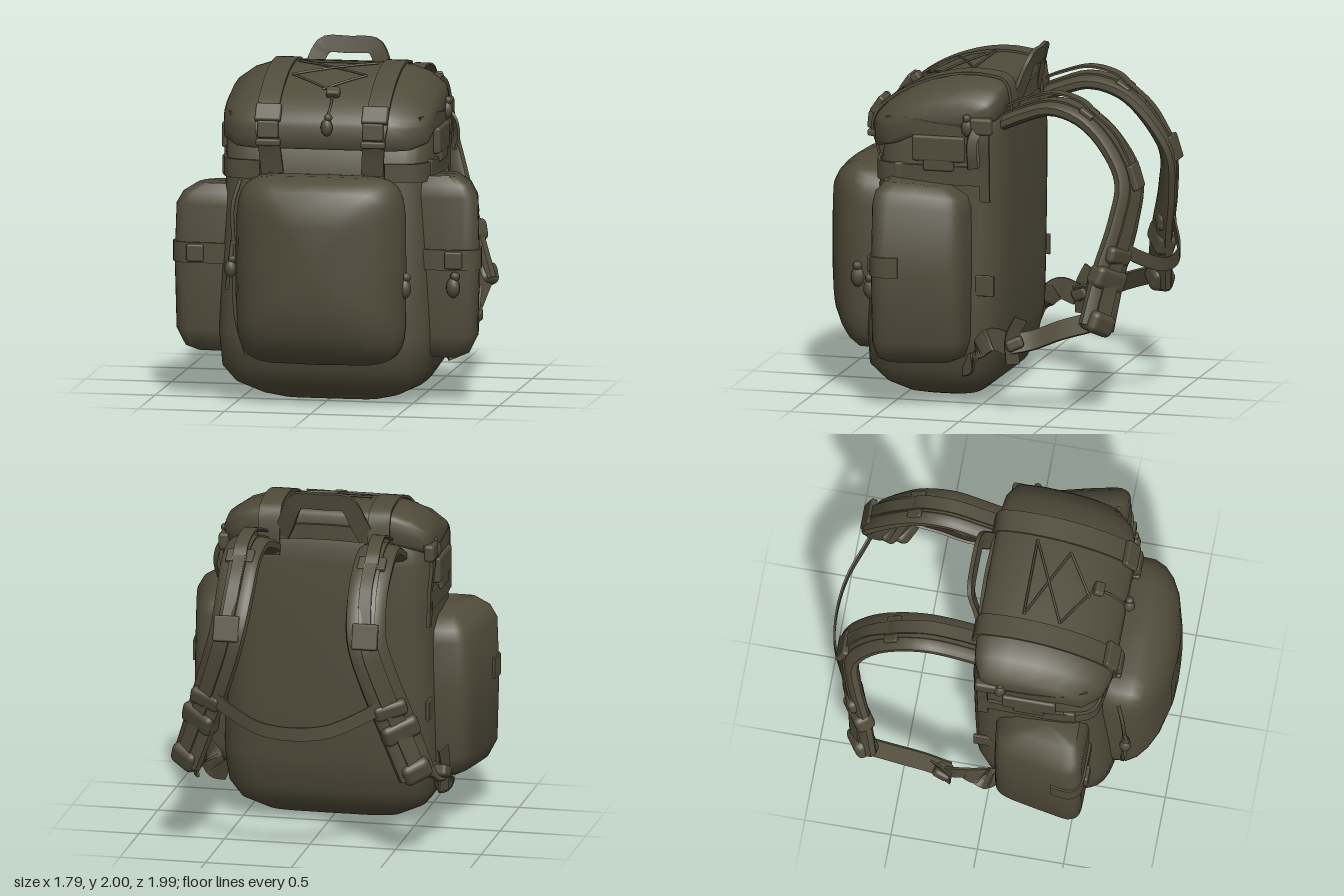
import * as THREE from 'three';
import { toCreasedNormals } from 'three/addons/utils/BufferGeometryUtils.js';
import { RoundedBoxGeometry } from 'three/addons/geometries/RoundedBoxGeometry.js';

const V = (x, y, z) => new THREE.Vector3(x, y, z);

// point of a superellipse; higher n is squarer
function squircle(angle, n) {
  const c = Math.cos(angle), s = Math.sin(angle);
  return [Math.sign(c) * Math.abs(c) ** (2 / n), Math.sign(s) * Math.abs(s) ** (2 / n)];
}

// closed skin over rings of points, with capped ends
function skin(rings, crease) {
  const k = rings[0].length, m = rings.length, index = [];
  const pts = rings.flat();
  for (let i = 0; i < m - 1; i++) for (let j = 0; j < k; j++) {
    const a = i * k + j, b = i * k + (j + 1) % k;
    index.push(a, b, b + k, a, b + k, a + k);
  }
  for (const r of [rings[0], rings[m - 1]]) {
    pts.push(r.reduce((sum, p) => sum.add(p), V(0, 0, 0)).divideScalar(k));
  }
  const end = (m - 1) * k;
  for (let j = 0; j < k; j++) {
    const n = (j + 1) % k;
    index.push(m * k, n, j, m * k + 1, end + j, end + n);
  }
  const g = new THREE.BufferGeometry().setFromPoints(pts);
  g.setIndex(index);
  return toCreasedNormals(g, crease);
}

// sections [t, centreA, centreB, halfA, halfB] along an axis; A, B follow it cyclically
function loft(axis, sections, n, warp = p => p) {
  const rings = sections.map(([t, ca, cb, ha, hb]) => Array.from({ length: 32 }, (_, j) => {
    const [u, v] = squircle(j / 32 * Math.PI * 2, n);
    const a = ca + u * ha, b = cb + v * hb;
    return warp({ x: V(t, a, b), y: V(b, t, a), z: V(a, b, t) }[axis]);
  }));
  return skin(rings, 0.9);
}

// strap swept along a smooth path; its width direction turns from side0 to side1
function sweep(points, width, thick, side0, { side1 = side0, soft = false, lift = 0, steps = 28 } = {}) {
  const curve = new THREE.CatmullRomCurve3(points, false, 'centripetal');
  const k = soft ? 12 : 4, rings = [];
  for (let i = 0; i <= steps; i++) {
    const t = i / steps, T = curve.getTangentAt(t);
    const S = side0.clone().lerp(side1, t);
    S.addScaledVector(T, -S.dot(T)).normalize();
    const N = T.clone().cross(S), c = curve.getPointAt(t).addScaledVector(N, lift);
    rings.push(Array.from({ length: k }, (_, j) => {
      const [u, v] = squircle((j + 0.5) / k * Math.PI * 2, soft ? 3 : 40);
      return c.clone().addScaledVector(S, u * width / 2).addScaledVector(N, v * thick / 2);
    }));
  }
  return skin(rings, 0.8);
}

// lid surface height
const lidDrop = z => { const d = Math.max(0, z - 0.1); return 0.6 * d * d + 0.05 * d; };
const lidTop = z => 1.775 + 0.12 * (1 - Math.min(1, Math.abs((z - 0.28) / 0.4)) ** 4.5) ** (1 / 4.5) - lidDrop(z);

export function createModel() {
  const model = new THREE.Group();
  const canvas = new THREE.MeshStandardMaterial({ color: 0x504b3a });
  canvas.name = 'olive canvas';
  const add = (name, geometry) => {
    const mesh = new THREE.Mesh(geometry, canvas);
    mesh.name = name;
    model.add(mesh);
    return mesh;
  };
  const box = (name, w, h, d, x, y, z, rx = 0, ry = 0, rz = 0) => {
    const r = Math.min(w, h, d) * 0.3;
    const b = add(name, new RoundedBoxGeometry(w, h, d, 2, r));
    b.position.set(x, y, z);
    b.rotation.set(rx, ry, rz);
  };
  const cord = (name, pts, r = 0.007) =>
    add(name, new THREE.TubeGeometry(new THREE.CatmullRomCurve3(pts), 16, r, 6));
  const X = V(1, 0, 0), Y = V(0, 1, 0);

  // main sack
  add('mainBody', loft('y', [
    [0, 0.3, 0, 0.12, 0.28], [0.03, 0.28, 0, 0.22, 0.4], [0.1, 0.29, 0, 0.32, 0.54],
    [0.2, 0.31, 0, 0.39, 0.61], [0.4, 0.295, 0, 0.415, 0.63], [0.75, 0.28, 0, 0.41, 0.62],
    [1.3, 0.25, 0, 0.39, 0.6], [1.56, 0.235, 0, 0.37, 0.6], [1.66, 0.17, 0, 0.3, 0.57], [1.74, 0.12, 0, 0.22, 0.5],
  ], 5));

  // lid, curving down to the front and narrowing at the ends
  const half = [[0.61, 1.69, 0.22, 0.05, 0.22], [0.59, 1.7, 0.24, 0.085, 0.3], [0.5, 1.74, 0.265, 0.11, 0.37],
    [0.4, 1.765, 0.277, 0.118, 0.393], [0.28, 1.775, 0.28, 0.12, 0.4]];
  add('lid', loft('x', [...half.map(([x, ...r]) => [-x, ...r]), ...half.slice().reverse()], 4.5,
    p => { p.y -= lidDrop(p.z); return p; }));

  // front pocket, bulging at the middle and drawn in below
  add('frontPocket', loft('z', [
    [0.6, 0.01, 0.795, 0.47, 0.53], [0.7, 0.01, 0.795, 0.49, 0.545], [0.8, 0.01, 0.795, 0.485, 0.545],
    [0.88, 0.01, 0.8, 0.46, 0.51], [0.935, 0.01, 0.81, 0.41, 0.455], [0.97, 0.01, 0.82, 0.33, 0.38], [0.99, 0, 0.83, 0.18, 0.24],
  ], 6, p => {
    const low = Math.max(0, 0.7 - p.y) / 0.45;
    p.z -= Math.max(0, p.z - 0.7) * (0.3 * (p.x / 0.49) ** 2 + 0.2 * low * low);
    return p;
  }));
  cord('pocketZip', [V(-0.46, 1.3, 0.72), V(-0.5, 1.15, 0.75), V(-0.49, 0.9, 0.76), V(-0.48, 0.5, 0.75), V(-0.42, 0.29, 0.74)], 0.012);

  for (const s of [1, -1]) {
    const P = (x, y, z) => V(x * s, y, z);

    // side pocket, the left one a little taller, slanting in towards the back
    const top = s > 0 ? 1.32 : 1.24;
    add('sidePocket', loft('y', [
      [0.27, 0.32, 0.64 * s, 0.18, 0.13], [0.3, 0.31, 0.66 * s, 0.24, 0.17], [0.4, 0.305, 0.68 * s, 0.265, 0.2],
      [0.8, 0.305, 0.68 * s, 0.27, 0.21], [top - 0.12, 0.305, 0.675 * s, 0.265, 0.205],
      [top - 0.05, 0.31, 0.66 * s, 0.25, 0.18], [top, 0.34, 0.64 * s, 0.18, 0.12],
    ], 6, p => {
      const back = Math.max(0, 0.5 - p.z) / 0.46;
      p.z += 0.1 * Math.max(0, Math.abs(p.x) - 0.68) * back;
      p.x *= 1 - 0.1 * back;
      if (p.y > 1.1) p.y -= 0.12 * Math.max(0, 0.4 - p.z);
      return p;
    }));
    add('pocketStrap', sweep([P(0.52, 0.845, 0.577), P(0.7, 0.845, 0.577), P(0.83, 0.845, 0.568), P(0.88, 0.845, 0.52), P(0.873, 0.845, 0.4)], 0.12, 0.018, Y));
    box('pocketBuckle', 0.1, 0.1, 0.04, 0.75 * s, 0.845, 0.585);

    // lid strap, buckle and lower webbing
    add('lidStrap', sweep([P(0.32, 1.6, -0.14), P(0.32, 1.75, -0.135),
      ...[-0.1, 0, 0.15, 0.3, 0.45, 0.58, 0.65, 0.675].map(z => P(0.32, lidTop(z) + 0.004, z)),
      P(0.31, 1.55, 0.69), P(0.3, 1.46, 0.665), P(0.29, 1.33, 0.64)], 0.13, 0.016, X, { steps: 44 }));
    box('lidBuckle', 0.15, 0.11, 0.04, 0.31 * s, 1.68, 0.66, -0.6);
    box('lidBuckle', 0.12, 0.1, 0.04, 0.305 * s, 1.59, 0.7, -0.1);
    box('lidBuckle', 0.14, 0.04, 0.05, 0.305 * s, 1.515, 0.695);

    // side compression straps and padded flap
    add('compressionStrap', sweep([P(0.6, 1.345, -0.02), P(0.605, 1.345, 0.2), P(0.6, 1.345, 0.45), P(0.55, 1.345, 0.59), P(0.36, 1.345, 0.64)], 0.11, 0.018, Y));
    add('upperSideStrap', sweep([P(0.6, 1.58, 0.06), P(0.605, 1.6, 0.25), P(0.595, 1.62, 0.42), P(0.545, 1.61, 0.55)], 0.1, 0.02, Y));
    box('sideFlap', 0.05, 0.15, 0.31, 0.61 * s, 1.5, 0.23);
    box('sideFlapTab', 0.045, 0.1, 0.18, 0.61 * s, 1.42, 0.23);
    box('strapLock', 0.04, 0.12, 0.07, 0.59 * s, 1.345, 0.46);

    // rear side webbing with buckle
    add('rearWebbing', sweep([P(0.55, 1.7, -0.04), P(0.61, 1.6, -0.04), P(0.6, 1.4, -0.04), P(0.595, 1.2, -0.04)], 0.06, 0.02, V(0, 0, 1)));
    box('rearBuckle', 0.06, 0.1, 0.13, 0.6 * s, 1.64, -0.02);
    box('rearPatch', 0.02, 0.12, 0.11, 0.595 * s, 0.71, -0.04);

    // padded shoulder strap
    const pad = [P(0.365, 1.62, -0.08), P(0.37, 1.68, -0.22), P(0.38, 1.73, -0.4), P(0.385, 1.68, -0.58), P(0.385, 1.54, -0.73),
      P(0.405, 1.33, -0.84), P(0.47, 1.1, -0.825), P(0.565, 0.82, -0.765), P(0.67, 0.52, -0.72)];
    const low = V(0.75 * s, 0, 0.65).multiplyScalar(s);
    add('shoulderPad', sweep(pad, 0.23, 0.085, X, { side1: low, soft: true, steps: 40 }));
    add('padWebbing', sweep(pad, 0.1, 0.014, X, { side1: low, lift: -0.044, steps: 40 }));
    add('loadLifter', sweep([P(0.36, 1.72, -0.1), P(0.365, 1.77, -0.22), P(0.375, 1.815, -0.4), P(0.385, 1.77, -0.57), P(0.385, 1.7, -0.64)], 0.08, 0.012, X));
    add('adjusterWebbing', sweep([P(0.385, 1.74, -0.6), P(0.385, 1.6, -0.76), P(0.405, 1.38, -0.885)], 0.07, 0.012, X));
    box('padLoop', 0.16, 0.03, 0.09, 0.385 * s, 1.715, -0.6, -0.6);
    box('padBuckle', 0.15, 0.15, 0.04, 0.405 * s, 1.36, -0.88, 0.3);
    box('padKeeper', 0.2, 0.1, 0.11, 0.53 * s, 0.92, -0.795, -0.2, -0.4 * s, 0.2 * s);
    box('padSleeve', 0.23, 0.13, 0.115, 0.58 * s, 0.79, -0.76, -0.2, -0.6 * s, 0.25 * s);
    box('padEnd', 0.18, 0.13, 0.14, 0.66 * s, 0.55, -0.725, -0.2, -0.6 * s, 0.3 * s);

    // lower adjustment webbing back to the sack
    add('lowerWebbing', sweep([P(0.69, 0.55, -0.68), P(0.69, 0.5, -0.52), P(0.685, 0.43, -0.35), P(0.7, 0.4, -0.22)], 0.12, 0.016, V(-0.6 * s, 1, 0)));
    box('lowerBuckle', 0.1, 0.07, 0.1, 0.71 * s, 0.41, -0.25, 0.4, 0.2 * s);
    add('webbingTail', sweep([P(0.73, 0.56, -0.29), P(0.73, 0.45, -0.24), P(0.72, 0.29, -0.24)], 0.08, 0.014, V(0.5 * s, 0, 1)));
    add('anchorWebbing', sweep([P(0.71, 0.4, -0.22), P(0.71, 0.43, -0.12), P(0.69, 0.37, -0.04), P(0.66, 0.27, 0.02), P(0.6, 0.24, 0.08)], 0.13, 0.014, V(0, 1, -0.4)));
  }

  // loose strap end hanging on the left
  add('looseEnd', sweep([V(0.61, 1.62, 0), V(0.65, 1.56, 0.02), V(0.66, 1.48, 0.02), V(0.64, 1.4, 0.02)], 0.06, 0.015, V(0.6, 0, 0.8)));

  // chest strap
  add('chestStrap', sweep([V(-0.52, 0.96, -0.84), V(-0.4, 0.89, -0.89), V(-0.2, 0.81, -0.97), V(0, 0.79, -0.993),
    V(0.2, 0.81, -0.97), V(0.4, 0.89, -0.89), V(0.52, 0.96, -0.84)], 0.08, 0.012, Y));

  // carry handle
  add('carryHandle', sweep([V(-0.25, 1.72, -0.12), V(-0.21, 1.81, -0.15), V(-0.17, 1.91, -0.18), V(-0.14, 1.945, -0.19), V(0, 1.948, -0.195),
    V(0.14, 1.945, -0.19), V(0.17, 1.91, -0.18), V(0.21, 1.81, -0.15), V(0.25, 1.72, -0.12)], 0.1, 0.025, V(0, 1, -0.2), { steps: 36 }));
  add('handleBase', sweep([V(-0.27, 1.74, -0.12), V(0, 1.75, -0.13), V(0.27, 1.74, -0.12)], 0.09, 0.02, Y));

  // laced cord on the lid, its toggle and end knob
  const onLid = (x, z) => V(x, lidTop(z) + 0.006, z);
  const lace = [[-0.23, 0.13, 0.23, 0.13], [-0.23, 0.13, 0.2, 0.33], [0.23, 0.13, -0.23, 0.34], [0.2, 0.33, -0.03, 0.48], [-0.23, 0.34, 0.04, 0.5]];
  for (const [x0, z0, x1, z1] of lace) {
    cord('lidCord', [0, 0.25, 0.5, 0.75, 1].map(t => onLid(x0 + (x1 - x0) * t, z0 + (z1 - z0) * t)));
  }
  cord('toggleCord', [onLid(0.03, 0.48), onLid(0.04, 0.58), onLid(0.03, 0.66), V(0.035, 1.62, 0.69)]);
  box('cordToggle', 0.08, 0.05, 0.06, 0.04, lidTop(0.52) + 0.02, 0.52, 0.6);

  // small pulls and knots
  const pull = (name, x, y, z, r) => {
    const body = add(name, new THREE.SphereGeometry(r, 10, 8));
    body.position.set(x, y, z);
    body.scale.y = 1.5;
    const knot = add(name + 'Knot', new THREE.SphereGeometry(r * 0.7, 8, 6));
    knot.position.set(x + r * 0.3, y + r * 1.6, z);
  };
  pull('lidPull', 0.035, 1.61, 0.695, 0.035);
  pull('zipPull', -0.51, 0.79, 0.77, 0.035);
  pull('zipPull', 0.495, 0.7, 0.74, 0.04);
  pull('pocketPull', 0.75, 0.69, 0.595, 0.04);
  cord('zipPullCord', [V(-0.5, 0.95, 0.76), V(-0.51, 0.82, 0.78), V(-0.53, 0.67, 0.77)], 0.012);
  box('pocketTab', 0.06, 0.07, 0.03, 0.69, 1.29, 0.52, -0.4);
  for (const s of [1, -1]) pull('sideKnot', 0.61 * s, 1.63, 0.06, 0.035);
  return model;
}
